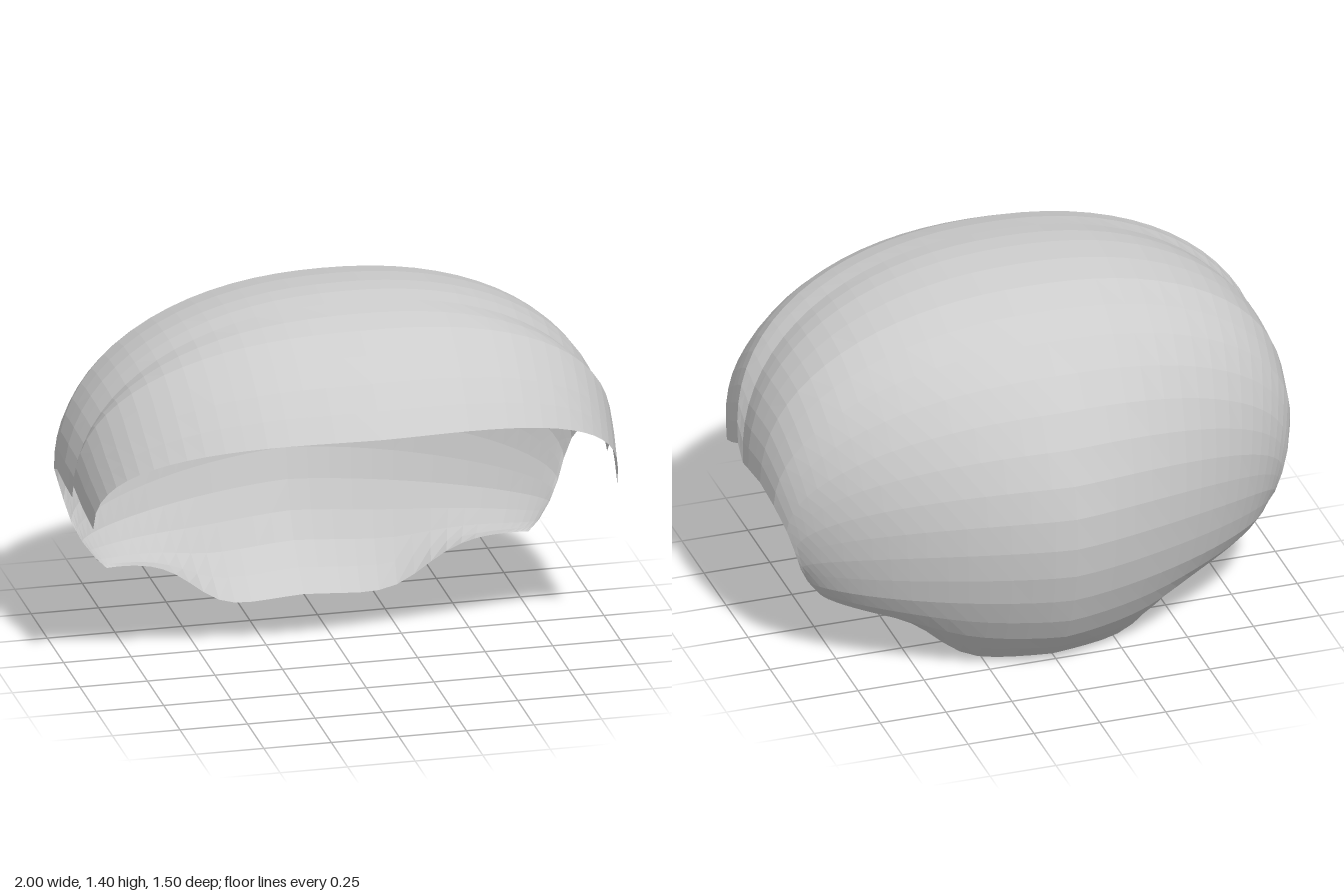
import * as THREE from 'three';

// One row per rib, from the brow over the crown to the nape:
// crown line y, z | side edge x, y, z | roundness of the rib in y and z | nape scallop
const ribs = [
  [1.05, 0.75, 0.97, 0.635, 0.33, 2.6, 1.75, 0],
  [1.21, 0.60, 0.985, 0.68, 0.23, 2.4, 1.8, 0],
  [1.34, 0.40, 0.995, 0.73, 0.13, 2.3, 1.9, 0],
  [1.385, 0.22, 0.99, 0.67, 0.09, 2.2, 2, 0],
  [1.40, 0.06, 1.0, 0.695, 0, 2.2, 2, 0],
  [1.365, -0.18, 0.995, 0.70, -0.12, 2.2, 1.9, 0],
  [1.25, -0.40, 0.98, 0.66, -0.23, 2.1, 1.7, 0],
  [1.06, -0.59, 0.95, 0.58, -0.29, 2, 1.5, 0],
  [0.82, -0.715, 0.925, 0.50, -0.305, 2, 1.42, 0],
  [0.58, -0.75, 0.90, 0.42, -0.295, 2, 1.4, 0],
  [0.35, -0.71, 0.865, 0.35, -0.275, 2, 1.4, 0.1],
  [0.15, -0.615, 0.82, 0.29, -0.255, 1.9, 1.3, 0.5],
  [0, -0.46, 0.78, 0.25, -0.25, 1.8, 1.2, 1],
];
const COLS = 36;
const STEPS = 2;

const crown = new THREE.CatmullRomCurve3(
  ribs.map(([y, z]) => new THREE.Vector3(0, y, z)), false, 'catmullrom', 0.5);

// Superelliptic fall-off from the crown line (s = 0) to the side edge (s = 1)
const falloff = (s, n) => Math.pow(Math.max(0, 1 - Math.pow(s, n)), 1 / n);

// S-shaped fall-off for the scalloped nape
const scallop = (s) => (1 / (1 + Math.pow(s / 0.58, 6))) * (1 - Math.pow(s, 12));

function shellGeometry() {
  const rows = (ribs.length - 1) * STEPS;
  const positions = [];
  const index = [];
  for (let i = 0; i <= rows; i++) {
    const k = Math.min(Math.floor(i / STEPS), ribs.length - 2);
    const f = i / STEPS - k;
    const [, , ex, ey, ez, ny, nz, w] =
      ribs[k].map((v, c) => THREE.MathUtils.lerp(v, ribs[k + 1][c], f));
    const mid = crown.getPoint(i / rows);
    for (let j = 0; j <= COLS; j++) {
      const side = Math.sin((j / COLS - 0.5) * Math.PI);
      const s = Math.min(1, Math.abs(side));
      const fy = THREE.MathUtils.lerp(falloff(s, ny), scallop(s), w);
      positions.push(
        ex * side,
        ey + (mid.y - ey) * fy,
        ez + (mid.z - ez) * falloff(s, nz));
      if (i < rows && j < COLS) {
        const a = i * (COLS + 1) + j;
        const b = a + COLS + 1;
        index.push(a, a + 1, b, a + 1, b + 1, b);
      }
    }
  }
  const geometry = new THREE.BufferGeometry();
  geometry.setAttribute('position', new THREE.Float32BufferAttribute(positions, 3));
  geometry.setIndex(index);
  geometry.computeVertexNormals();
  return geometry;
}

export function createModel() {
  const group = new THREE.Group();
  group.name = 'hairCap';
  // Thin open shell with brow rim, ear cut-outs and nape
  const shell = new THREE.Mesh(shellGeometry(), new THREE.MeshStandardMaterial({
    color: 0xcccccc, flatShading: true, side: THREE.DoubleSide,
  }));
  shell.name = 'hairShell';
  group.add(shell);
  return group;
}
